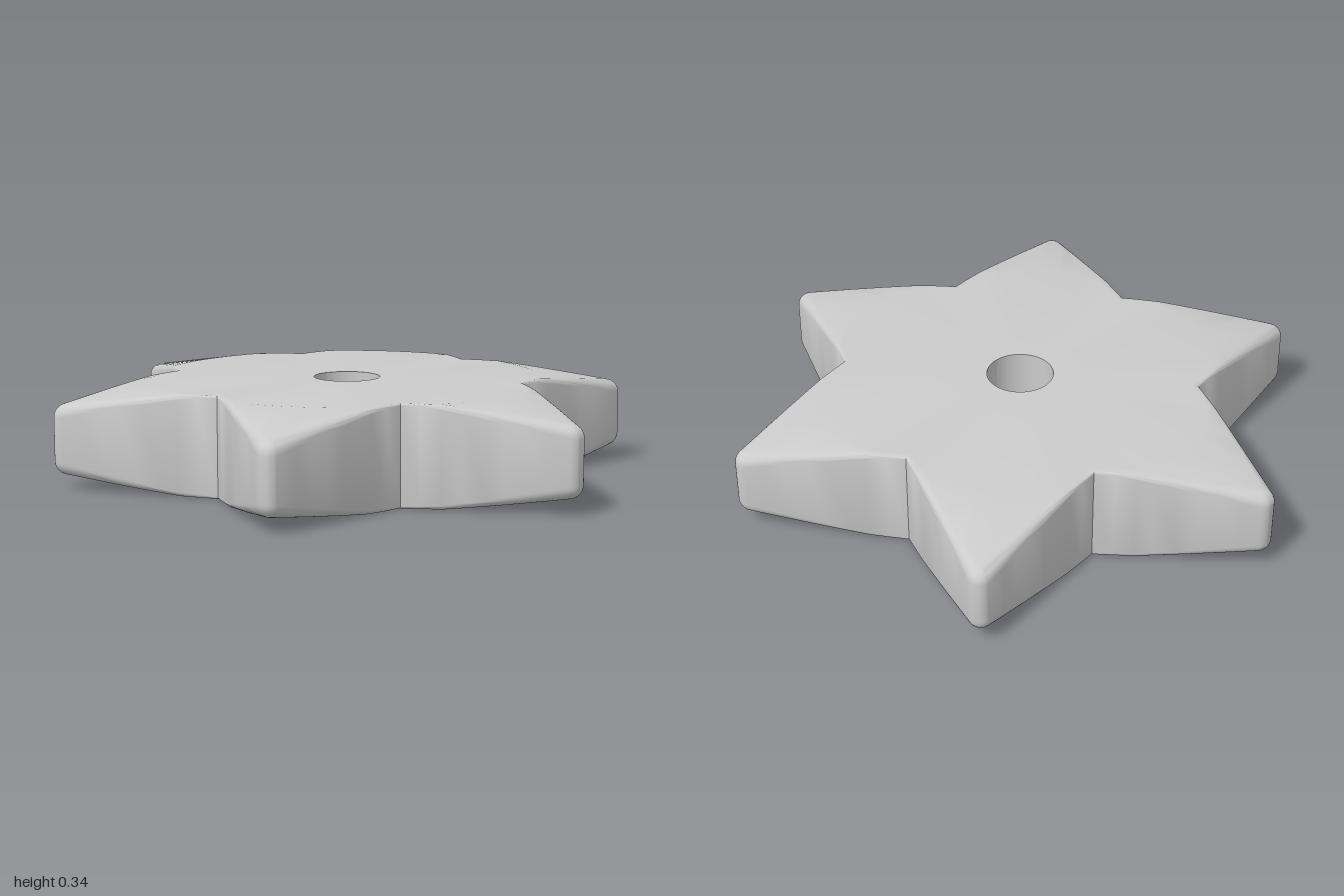
import * as THREE from 'three';
import { toCreasedNormals } from 'three/addons/utils/BufferGeometryUtils.js';

const POINTS = 6, NOTCH = 0.6, TIP_ROUND = 0.04, HOLE = 0.112;
const HALF = 0.1675, FLAT = 0.66, SLOPE = 0.165; // half thickness, flat radius, taper of the tips
const EDGE_STEPS = 8, ARC_STEPS = 10, FILLET_STEPS = 6;

// Half thickness: flat in the middle, falling away towards the tips
const halfHeight = (r) => HALF - SLOPE * Math.max(0, r - FLAT);

// Outline samples with outward direction and fillet width, x/z as (sin, cos)
function starOutline() {
  const one = [];
  const side = Math.PI / 3; // angle of the edge normal from the tip axis
  const centre = 2 * NOTCH * Math.cos(Math.PI / 6) - 2 * TIP_ROUND;
  const notch = new THREE.Vector2(-NOTCH * Math.sin(Math.PI / 6), NOTCH * Math.cos(Math.PI / 6));
  const start = new THREE.Vector2(-TIP_ROUND * Math.sin(side), centre + TIP_ROUND * Math.cos(side));
  const normal = new THREE.Vector2(-Math.sin(side), Math.cos(side));
  const width = (t) => 0.006 + 0.032 * t;

  for (let i = 0; i < EDGE_STEPS; i++) {
    const t = i / EDGE_STEPS;
    const n = i === 0 ? notch.clone().normalize() : normal.clone();
    one.push({ p: notch.clone().lerp(start, t), n, w: width(t) });
  }
  for (let i = 0; i <= ARC_STEPS; i++) {
    const a = -side + (2 * side * i) / ARC_STEPS;
    const n = new THREE.Vector2(Math.sin(a), Math.cos(a));
    one.push({ p: new THREE.Vector2(0, centre).addScaledVector(n, TIP_ROUND), n, w: width(1) });
  }
  for (let i = EDGE_STEPS - 1; i > 0; i--) {
    const { p, n, w } = one[i];
    one.push({ p: new THREE.Vector2(-p.x, p.y), n: new THREE.Vector2(-n.x, n.y), w });
  }

  // Repeat the point around the centre
  const all = [], origin = new THREE.Vector2();
  for (let k = 0; k < POINTS; k++) {
    const a = (-k * 2 * Math.PI) / POINTS;
    for (const { p, n, w } of one) {
      all.push({ p: p.clone().rotateAround(origin, a), n: n.clone().rotateAround(origin, a), w });
    }
  }
  return all;
}

// Upper half of the cross-section at one outline sample, from hole to rim
function section({ p, n, w }) {
  const inner = p.clone().addScaledVector(n, -w);
  const radius = inner.length();
  const dir = inner.clone().normalize();
  const fold = Math.min(radius * 0.97, FLAT);
  const pts = [
    [dir.x * HOLE, HALF, dir.y * HOLE],
    [dir.x * fold, HALF, dir.y * fold],
  ];
  for (let i = 0; i <= FILLET_STEPS; i++) {
    const a = (i / FILLET_STEPS) * Math.PI / 2;
    const q = inner.clone().addScaledVector(n, w * Math.sin(a));
    pts.push([q.x, halfHeight(q.length()) - w * (1 - Math.cos(a)), q.y]);
  }
  return pts;
}

function starGeometry() {
  const sections = starOutline().map((s) => {
    const top = section(s);
    return [...top, ...top.map(([x, y, z]) => [x, -y, z]).reverse()];
  });
  const rows = sections.length, cols = sections[0].length;
  const index = [];
  for (let i = 0; i < rows; i++) {
    for (let j = 0; j < cols; j++) {
      const i2 = (i + 1) % rows, j2 = (j + 1) % cols;
      const a = i * cols + j, b = i * cols + j2, c = i2 * cols + j2, d = i2 * cols + j;
      index.push(a, b, c, a, c, d);
    }
  }
  const geo = new THREE.BufferGeometry();
  geo.setAttribute('position', new THREE.Float32BufferAttribute(sections.flat(2), 3));
  geo.setIndex(index);
  geo.translate(0, HALF, 0);
  return toCreasedNormals(geo, THREE.MathUtils.degToRad(40));
}

export function createModel() {
  const group = new THREE.Group();
  group.name = 'starBead';
  // Six-pointed body with a round hole through the middle
  const body = new THREE.Mesh(starGeometry(), new THREE.MeshStandardMaterial({ color: 0xcccccc }));
  body.name = 'starBody';
  group.add(body);
  return group;
}
